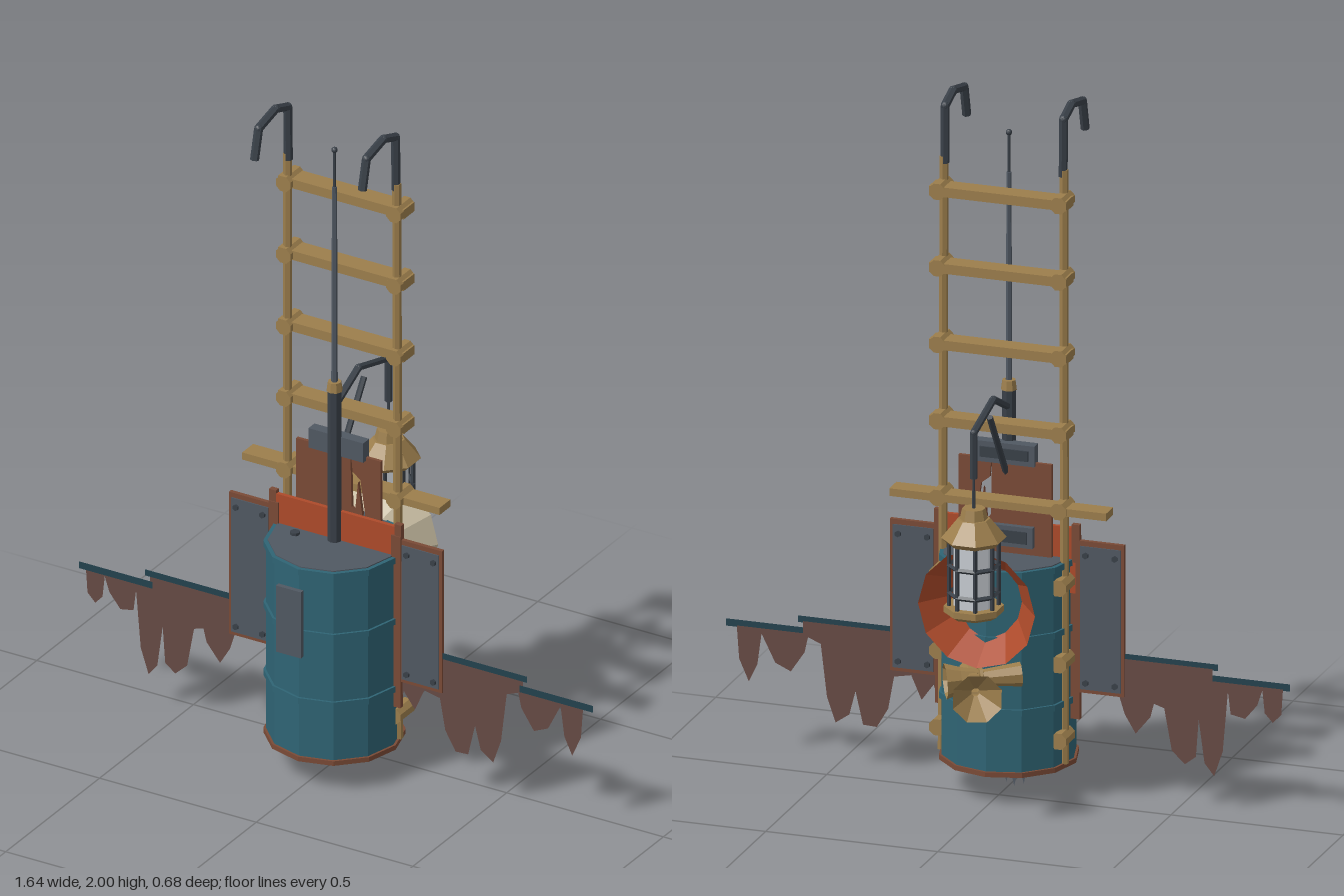
import * as THREE from 'three';

const mat = (name, color, side = THREE.FrontSide) => {
  const m = new THREE.MeshStandardMaterial({ color, side });
  m.name = name;
  return m;
};

export function createModel() {
  const D = THREE.DoubleSide;
  const teal = mat('tealPaint', 0x2f6474);
  const darkTeal = mat('darkTealTrim', 0x23424e, D);
  const wood = mat('agedWood', 0x9c7e4c, D);
  const dark = mat('darkIron', 0x394048);
  const grey = mat('greySteel', 0x505862, D);
  const orange = mat('orangePaint', 0xad4a2a);
  const rust = mat('rustedBoard', 0x7a4a36, D);
  const rag = mat('raggedCloth', 0x664a44, D);
  const cream = mat('creamEnamel', 0xc4b99f);
  const glass = mat('lanternGlass', 0xc9ced4);

  const model = new THREE.Group();
  const V = (x, y, z) => new THREE.Vector3(x, y, z);

  // Faceted mesh
  const add = (name, geo, material, x = 0, y = 0, z = 0, parent = model) => {
    const g = geo.index ? geo.toNonIndexed() : geo;
    g.computeVertexNormals();
    const mesh = new THREE.Mesh(g, material);
    mesh.name = name;
    mesh.position.set(x, y, z);
    parent.add(mesh);
    return mesh;
  };
  const box = (name, w, h, d, m, x, y, z, p) => add(name, new THREE.BoxGeometry(w, h, d), m, x, y, z, p);
  // Vertical cylinder given by its bottom and top heights
  const cyl = (name, rTop, rBot, y0, y1, m, x, z, n = 8, p = model) =>
    add(name, new THREE.CylinderGeometry(rTop, rBot, y1 - y0, n), m, x, (y0 + y1) / 2, z, p);
  const rod = (name, a, b, r, m, p = model) => {
    const d = b.clone().sub(a);
    const mesh = add(name, new THREE.CylinderGeometry(r, r, d.length(), 6), m, 0, 0, 0, p);
    mesh.position.copy(a).add(b).multiplyScalar(0.5);
    mesh.quaternion.setFromUnitVectors(V(0, 1, 0), d.normalize());
  };
  const bentRod = (name, pts, r, m) => {
    const g = new THREE.Group();
    g.name = name;
    model.add(g);
    for (let i = 0; i < pts.length - 1; i++) {
      rod(name + 'Segment', pts[i], pts[i + 1], r, m, g);
      if (i) add(name + 'Joint', new THREE.IcosahedronGeometry(r, 1), m, ...pts[i].toArray(), g);
    }
  };
  const sheet = (name, pts, m, z) =>
    add(name, new THREE.ShapeGeometry(new THREE.Shape(pts.map(([x, y]) => new THREE.Vector2(x, y)))), m, 0, 0, z);

  // Barrel
  const BZ = 0.083;
  cyl('barrelBody', 0.188, 0.188, 0.095, 0.675, teal, 0, BZ, 12);
  for (const y of [0.275, 0.485]) cyl('barrelRib', 0.195, 0.195, y - 0.009, y + 0.009, teal, 0, BZ, 12);
  cyl('barrelTopRim', 0.195, 0.195, 0.665, 0.683, teal, 0, BZ, 12);
  cyl('barrelLid', 0.183, 0.183, 0.68, 0.686, grey, 0, BZ, 12);
  cyl('barrelBottomRim', 0.195, 0.195, 0.088, 0.102, rust, 0, BZ, 12);
  cyl('barrelBottom', 0.185, 0.185, 0.085, 0.09, darkTeal, 0, BZ, 12);
  cyl('barrelBung', 0.014, 0.014, 0.684, 0.694, dark, -0.11, 0.11);
  sheet('bottomShards', [[-0.06, 0.09], [-0.043, 0.01], [-0.03, 0.06], [-0.015, 0], [-0.004, 0.05],
    [0.008, 0.01], [0.018, 0.06], [0.03, 0.09]], grey, BZ);
  sheet('smallShard', [[0.07, 0.09], [0.077, 0.065], [0.084, 0.09]], grey, BZ);

  // Front handle
  box('handlePlate', 0.08, 0.205, 0.014, grey, 0, 0.543, 0.322);
  rod('handleUpperStem', V(0, 0.6, 0.25), V(0, 0.6, 0.32), 0.011, dark);
  rod('handleLowerStem', V(0, 0.505, 0.26), V(0, 0.46, 0.32), 0.011, dark);

  // Ladder
  for (const s of [-1, 1]) {
    rod('ladderRail', V(s * 0.178, 0.1, 0.038), V(s * 0.174, 1.82, 0.042), 0.0125, wood);
    bentRod('ladderHook', [V(s * 0.172, 1.8, 0.042), V(s * 0.172, 1.965, 0.045), V(s * 0.172, 1.988, 0.11),
      V(s * 0.172, 1.968, 0.2), V(s * 0.172, 1.88, 0.222)], 0.0125, dark);
  }
  for (let i = 0; i < 8; i++) {
    const y = 0.178 + i * 0.222, long = i === 3;
    box('ladderRung', long ? 0.63 : i < 3 ? 0.35 : 0.4, long ? 0.022 : 0.028, 0.058, wood, 0, y, 0.02);
    for (const s of [-1, 1]) {
      const g = new THREE.CylinderGeometry(0.025, 0.025, 0.075, 8);
      g.rotateY(Math.PI / 8).rotateX(Math.PI / 2);
      add('rungKnot', g, wood, s * 0.176, y, 0.026);
    }
  }

  // Antenna
  cyl('antennaPost', 0.02, 0.02, 0.68, 1.155, dark, 0, BZ);
  cyl('antennaCollar', 0.019, 0.023, 1.15, 1.178, wood, 0, BZ);
  cyl('antennaMast', 0.007, 0.009, 1.178, 1.78, grey, 0, BZ, 6);
  cyl('antennaTip', 0.004, 0.004, 1.78, 1.895, dark, 0, BZ, 6);
  add('antennaBall', new THREE.IcosahedronGeometry(0.009, 1), dark, 0, 1.895, BZ);

  // Lantern arm
  bentRod('lanternArm', [V(0, 1.1, 0.08), V(0, 1.162, -0.045), V(0, 1.118, -0.205), V(0, 0.985, -0.205)], 0.0105, dark);
  rod('armBrace', V(0, 0.9, 0.07), V(0, 1.12, -0.075), 0.009, dark);
  rod('lanternHook', V(0, 0.95, -0.205), V(0, 0.89, -0.205), 0.005, dark);
  rod('lanternLink', V(0, 0.99, -0.205), V(0, 0.94, -0.205), 0.004, dark);

  // Lantern
  const lantern = new THREE.Group();
  lantern.name = 'lantern';
  lantern.position.set(0, 0, -0.205);
  lantern.rotation.y = Math.PI / 8;
  model.add(lantern);
  const part = (name, rt, rb, y0, y1, m) => cyl(name, rt, rb, y0, y1, m, 0, 0, 8, lantern);
  part('lanternCap', 0.032, 0.04, 0.865, 0.9, wood);
  part('lanternRoof', 0.045, 0.09, 0.815, 0.87, wood);
  part('lanternEave', 0.09, 0.075, 0.8, 0.815, wood);
  part('lanternGlass', 0.055, 0.055, 0.615, 0.805, glass);
  part('lanternBase', 0.083, 0.083, 0.6, 0.618, wood);
  part('lanternFoot', 0.083, 0.065, 0.588, 0.6, wood);
  for (const y of [0.655, 0.735]) {
    const g = new THREE.TorusGeometry(0.068, 0.007, 4, 8);
    add('cageRing', g.rotateX(Math.PI / 2), dark, 0, y, 0, lantern);
  }
  for (let i = 0; i < 8; i++) {
    const a = i * Math.PI / 4;
    cyl('cageBar', 0.006, 0.006, 0.61, 0.805, dark, 0.068 * Math.sin(a), 0.068 * Math.cos(a), 4, lantern);
  }

  // Reflector dish behind the lantern, painted inside
  const dish = (r0, r1) => new THREE.CylinderGeometry(r1, r0, 0.15, 12, 1, true).rotateX(-Math.PI / 2);
  add('dishOutside', dish(0.065, 0.172), cream, 0, 0.597, -0.107);
  add('dishInside', dish(0.062, 0.17).scale(-1, 1, 1), orange, 0, 0.597, -0.108);

  // Signal horns
  const horn = (name, a, b, bell) => {
    const d = b.clone().sub(a), L = d.length();
    const profile = [[0.001, 0], [0.034, 0], [0.023, 0.5], [0.034, 0.51], [0.034, 0.55], [0.025, 0.56],
      [0.036, 0.8], [bell, 1], [0.012, 0.75]].map(([r, t]) => new THREE.Vector2(r, t * L));
    const h = add(name, new THREE.LatheGeometry(profile, 8), wood);
    h.position.copy(a);
    h.quaternion.setFromUnitVectors(V(0, 1, 0), d.normalize());
  };
  horn('longHorn', V(0.05, 0.385, -0.09), V(-0.053, 0.39, -0.325), 0.072);
  horn('shortHorn', V(-0.1, 0.395, -0.1), V(0.085, 0.385, -0.2), 0.05);

  // Side shields
  const PZ = 0.072;
  for (const s of [-1, 1]) {
    box('shieldFrame', 0.15, 0.44, 0.012, rust, s * 0.265, 0.52, PZ);
    box('shieldPlate', 0.118, 0.415, 0.018, grey, s * 0.272, 0.518, PZ);
    box('shieldStrip', 0.03, 0.53, 0.014, rust, s * 0.195, 0.485, PZ + 0.004);
    for (const [x, y] of [[0.315, 0.7], [0.315, 0.33], [0.23, 0.7], [0.23, 0.33]]) {
      add('shieldBolt', new THREE.CylinderGeometry(0.009, 0.009, 0.032, 6).rotateX(Math.PI / 2), dark, s * x, y, PZ);
    }
  }

  // Centre boards
  box('orangeBoard', 0.4, 0.19, 0.012, orange, 0, 0.68, PZ);
  for (const s of [-1, 1]) box('boardEdge', 0.022, 0.11, 0.016, rust, s * 0.2, 0.73, PZ);
  const split = (name, pts) => {
    const shape = new THREE.Shape(pts.map(([x, y]) => new THREE.Vector2(x, y)));
    add(name, new THREE.ExtrudeGeometry(shape, { depth: 0.01, bevelEnabled: false }), rust, 0, 0, 0.052);
  };
  split('leftBoard', [[-0.135, 0.66], [0.075, 0.66], [0.075, 0.78], [0.062, 0.87], [0.053, 0.78], [0.042, 0.79],
    [0.038, 0.955], [-0.135, 0.955]]);
  split('rightBoard', [[0.085, 0.66], [0.135, 0.66], [0.135, 0.955], [0.04, 0.955], [0.045, 0.9], [0.07, 0.88],
    [0.085, 0.78]]);
  box('rearBracket', 0.175, 0.06, 0.032, grey, 0, 0.975, 0.06);
  box('bracketSlot', 0.14, 0.03, 0.006, dark, 0, 0.975, 0.042);
  box('lowerBracket', 0.17, 0.06, 0.02, grey, 0, 0.74, 0.045);
  box('lowerBracketSlot', 0.14, 0.035, 0.006, dark, 0, 0.74, 0.034);

  // Ragged wings
  for (const s of [-1, 1]) {
    const bar = (x0, x1, y0, y1) => sheet('wingBar', [[s * x0, y0], [s * x1, y0], [s * x1, y1], [s * x0, y1]], darkTeal, PZ + 0.003);
    bar(0.2, 0.61, 0.405, 0.424);
    bar(0.585, 0.82, 0.37, 0.391);
  }
  sheet('rightWingCloth', [[-0.2, 0.41], [-0.595, 0.41], [-0.595, 0.375], [-0.8, 0.375], [-0.795, 0.3], [-0.77, 0.275],
    [-0.747, 0.3], [-0.74, 0.365], [-0.725, 0.32], [-0.69, 0.277], [-0.648, 0.285], [-0.64, 0.35], [-0.625, 0.175],
    [-0.6, 0.1], [-0.572, 0.135], [-0.555, 0.26], [-0.547, 0.15], [-0.515, 0.125], [-0.477, 0.16], [-0.455, 0.28],
    [-0.425, 0.29], [-0.415, 0.25], [-0.372, 0.197], [-0.34, 0.25], [-0.315, 0.33], [-0.2, 0.3]], rag, PZ);
  sheet('leftWingCloth', [[0.2, 0.41], [0.595, 0.41], [0.595, 0.375], [0.787, 0.375], [0.78, 0.28], [0.752, 0.217],
    [0.727, 0.27], [0.715, 0.36], [0.675, 0.28], [0.63, 0.26], [0.59, 0.32], [0.58, 0.365], [0.543, 0.35],
    [0.525, 0.2], [0.5, 0.127], [0.46, 0.155], [0.442, 0.225], [0.42, 0.13], [0.38, 0.128], [0.347, 0.185],
    [0.33, 0.28], [0.28, 0.29], [0.25, 0.222], [0.215, 0.27], [0.2, 0.225]], rag, PZ);

  return model;
}
